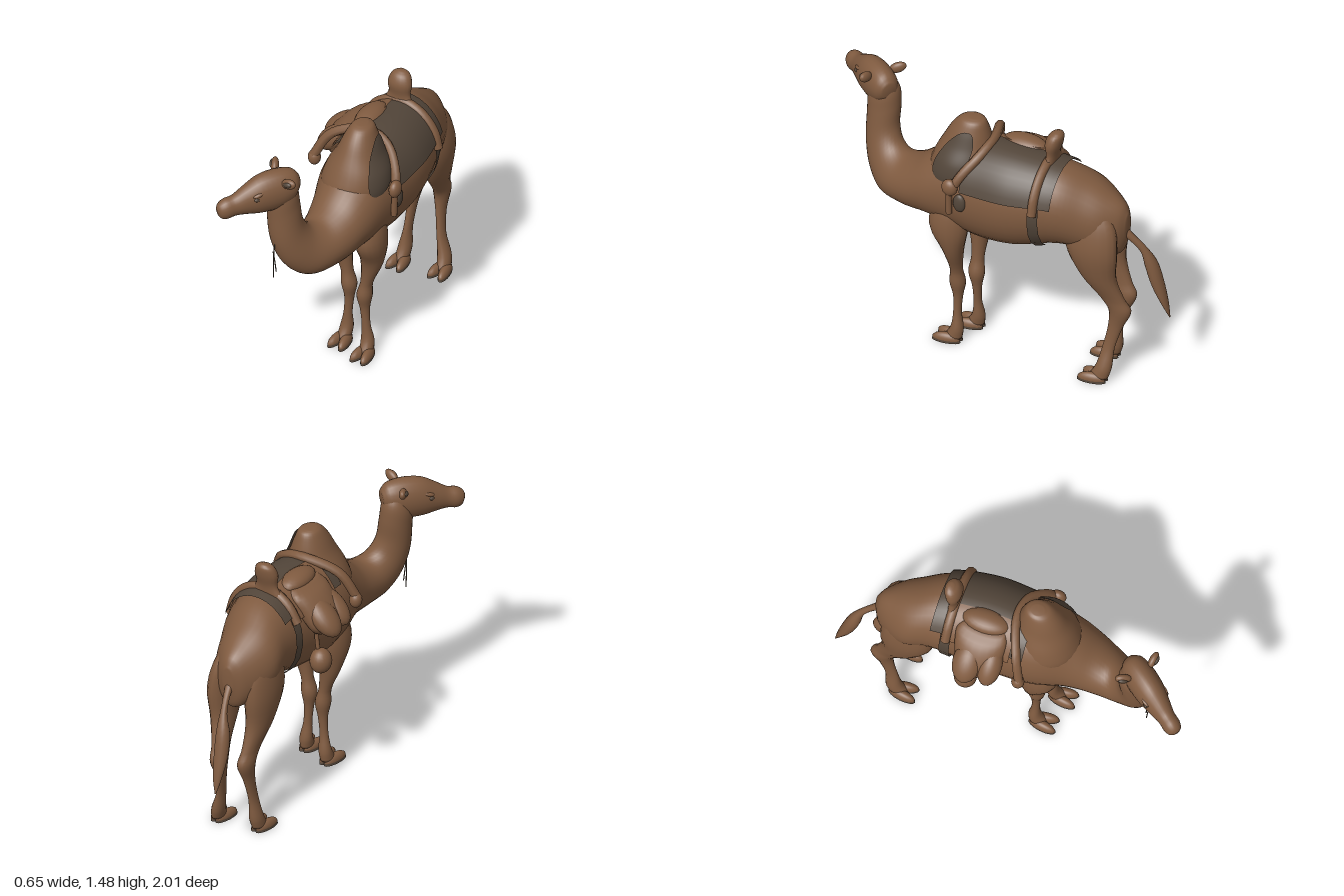
import * as THREE from 'three';

const material = (name, color) => {
  const m = new THREE.MeshStandardMaterial({ color });
  m.name = name;
  return m;
};

// Station: [centre x, front/top z, y, back/bottom z, y, half width]
function surface(stations) {
  const a = new THREE.CatmullRomCurve3(stations.map(s => new THREE.Vector3(s[0], s[2], s[1])));
  const b = new THREE.CatmullRomCurve3(stations.map(s => new THREE.Vector3(s[5], s[4], s[3])));
  const n = stations.length - 1;
  return (i, angle, pad = 0) => {
    const p = a.getPoint(i / n), q = b.getPoint(i / n);
    const dy = (p.y - q.y) / 2, dz = (p.z - q.z) / 2;
    const k = Math.cos(angle) * (1 + pad / Math.max(Math.hypot(dy, dz), 0.01));
    return new THREE.Vector3(p.x + (q.x + pad) * Math.sin(angle),
      (p.y + q.y) / 2 + dy * k, (p.z + q.z) / 2 + dz * k);
  };
}

// Closed tube of elliptical cross-sections
function loft(stations, sides = 24, steps = 4) {
  const at = surface(stations), rows = (stations.length - 1) * steps;
  const pos = [], idx = [];
  const centre = i => at(i, 0).add(at(i, Math.PI)).multiplyScalar(0.5);
  for (let r = 0; r <= rows; r++)
    for (let s = 0; s < sides; s++) pos.push(...at(r / steps, s / sides * Math.PI * 2).toArray());
  for (let r = 0; r < rows; r++)
    for (let s = 0; s < sides; s++) {
      const t = (s + 1) % sides, p = r * sides, q = p + sides;
      idx.push(p + s, q + s, p + t, p + t, q + s, q + t);
    }
  const first = pos.length / 3, end = rows * sides;
  pos.push(...centre(0).toArray(), ...centre(stations.length - 1).toArray());
  for (let s = 0; s < sides; s++) {
    const t = (s + 1) % sides;
    idx.push(first, s, t, first + 1, end + t, end + s);
  }
  // Turn the faces outward if the enclosed volume is negative
  let volume = 0;
  const v = k => new THREE.Vector3(pos[k * 3], pos[k * 3 + 1], pos[k * 3 + 2]);
  for (let k = 0; k < idx.length; k += 3) volume += v(idx[k]).dot(v(idx[k + 1]).cross(v(idx[k + 2])));
  if (volume < 0) idx.reverse();
  const g = new THREE.BufferGeometry();
  g.setAttribute('position', new THREE.Float32BufferAttribute(pos, 3));
  g.setIndex(idx);
  g.computeVertexNormals();
  return g;
}

// Cloth lying on part of a lofted surface; an oval narrows at both ends and can lean
function patch(stations, i0, i1, a0, a1, pad, oval = false, lean = 0) {
  const at = surface(stations), g = new THREE.PlaneGeometry(1, 1, 24, 16), p = g.attributes.position;
  for (let k = 0; k < p.count; k++) {
    const s = p.getX(k) + 0.5, t = p.getY(k);
    const w = oval ? Math.sqrt(1 - 0.95 * (2 * s - 1) ** 2) : 1;
    const angle = THREE.MathUtils.degToRad((a0 + a1) / 2 + (a1 - a0) * t * w + lean * (s - 0.5));
    p.setXYZ(k, ...at(i0 + (i1 - i0) * s, angle, pad).toArray());
  }
  g.computeVertexNormals();
  return g;
}

export function createModel() {
  const model = new THREE.Group();
  const coat = material('brown coat', 0x805b40);
  coat.side = THREE.DoubleSide;
  const cloth = material('dark cloth', 0x53463a);
  cloth.side = THREE.DoubleSide;
  const dark = material('dark hoof', 0x544538);

  const add = (name, geometry, mat, parent = model) => {
    const mesh = new THREE.Mesh(geometry, mat);
    mesh.name = name;
    parent.add(mesh);
    return mesh;
  };
  const ball = (name, mat, position, radii, tilt = [0, 0, 0], parent = model) => {
    const mesh = add(name, new THREE.SphereGeometry(1, 20, 14), mat, parent);
    mesh.position.set(...position);
    mesh.scale.set(...radii);
    mesh.rotation.set(...tilt);
    return mesh;
  };
  const tube = (name, mat, points, radius) => add(name, new THREE.TubeGeometry(
    new THREE.CatmullRomCurve3(points.map(p => new THREE.Vector3(...p))), 24, radius, 8), mat);

  // Torso and neck
  const torso = [
    [-0.01, -0.79, 1.03, -0.785, 0.88, 0.03], [-0.01, -0.76, 1.085, -0.75, 0.78, 0.085],
    [-0.005, -0.68, 1.145, -0.68, 0.77, 0.145], [0.0, -0.58, 1.205, -0.58, 0.78, 0.185],
    [0.035, -0.45, 1.265, -0.45, 0.8, 0.202],
    [0.06, -0.2, 1.295, -0.2, 0.73, 0.228], [0.055, 0, 1.29, 0, 0.71, 0.228],
    [0.055, 0.15, 1.26, 0.15, 0.735, 0.215], [0.07, 0.32, 1.15, 0.3, 0.77, 0.18],
    [0.06, 0.42, 1.075, 0.48, 0.768, 0.15], [0.03, 0.5, 1.045, 0.64, 0.79, 0.125],
    [-0.01, 0.56, 1.07, 0.725, 0.88, 0.107], [-0.045, 0.59, 1.14, 0.77, 1.02, 0.094],
    [-0.065, 0.59, 1.26, 0.775, 1.2, 0.087], [-0.07, 0.6, 1.36, 0.775, 1.28, 0.08],
    [-0.065, 0.64, 1.43, 0.77, 1.32, 0.06]];
  add('torso and neck', loft(torso, 32, 5), coat);

  // Hump
  const hump = [
    [0.06, 0.3, 1.0, -0.05, 1.0, 0.15], [0.06, 0.33, 1.1, -0.06, 1.1, 0.185],
    [0.068, 0.3, 1.2, -0.04, 1.2, 0.168], [0.07, 0.25, 1.3, -0.02, 1.3, 0.118],
    [0.07, 0.205, 1.38, 0, 1.38, 0.085], [0.07, 0.16, 1.43, 0.02, 1.43, 0.058],
    [0.065, 0.12, 1.445, 0.05, 1.445, 0.03]];
  add('hump', loft(hump, 28), coat);

  // Head, turned toward the right
  const head = new THREE.Group();
  head.name = 'head';
  head.position.set(-0.06, 0, 0.69);
  head.rotation.y = -0.645;
  model.add(head);
  add('skull and muzzle', loft([
    [0, -0.085, 1.42, -0.075, 1.33, 0.04], [0, -0.05, 1.46, -0.04, 1.28, 0.07],
    [0, 0.03, 1.478, 0.03, 1.245, 0.083], [0, 0.14, 1.465, 0.14, 1.24, 0.078],
    [0, 0.23, 1.415, 0.22, 1.252, 0.06], [0, 0.29, 1.378, 0.28, 1.258, 0.048],
    [0, 0.34, 1.368, 0.33, 1.25, 0.048], [0, 0.373, 1.345, 0.358, 1.257, 0.036],
    [0, 0.384, 1.32, 0.374, 1.277, 0.014]]), coat, head);
  for (const s of [-1, 1]) {
    ball('ear', coat, [s * 0.095, 1.442, 0.01], [0.048, 0.03, 0.022], [0, s * 0.45, s * 0.4], head);
    ball('inner ear', cloth, [s * 0.105, 1.446, 0.022], [0.028, 0.016, 0.014], [0, s * 0.45, s * 0.4], head);
    ball('brow', coat, [s * 0.058, 1.39, 0.165], [0.016, 0.012, 0.034], [0.3, 0, 0], head);
    ball('eye', dark, [s * 0.066, 1.365, 0.178], [0.009, 0.011, 0.016], [0, 0, 0], head);
  }

  // Legs with two-toed feet
  const frontLeg = [
    [0.1, 0.22, 1.05, 0.1, 1.05, 0.04], [0.145, 0.27, 0.92, 0.07, 0.92, 0.085],
    [0.178, 0.29, 0.77, 0.07, 0.77, 0.082], [0.17, 0.215, 0.62, 0.1, 0.62, 0.064],
    [0.135, 0.19, 0.46, 0.12, 0.46, 0.034], [0.122, 0.2, 0.375, 0.11, 0.375, 0.043],
    [0.122, 0.18, 0.29, 0.125, 0.29, 0.028], [0.13, 0.175, 0.18, 0.13, 0.18, 0.024],
    [0.138, 0.185, 0.09, 0.115, 0.08, 0.036], [0.143, 0.22, 0.025, 0.12, 0.025, 0.036]];
  const hindLeg = [
    [0.06, -0.55, 1.1, -0.68, 1.1, 0.04], [0.085, -0.48, 0.98, -0.755, 0.98, 0.07],
    [0.105, -0.48, 0.83, -0.775, 0.83, 0.078], [0.095, -0.56, 0.66, -0.765, 0.66, 0.06],
    [0.068, -0.66, 0.52, -0.805, 0.52, 0.038], [0.055, -0.705, 0.44, -0.835, 0.45, 0.041],
    [0.06, -0.705, 0.34, -0.79, 0.34, 0.026], [0.08, -0.68, 0.2, -0.75, 0.2, 0.022],
    [0.108, -0.655, 0.09, -0.745, 0.08, 0.036], [0.12, -0.62, 0.025, -0.73, 0.025, 0.035]];
  const leg = (name, stations, mapX, dz) => {
    const moved = stations.map(([x, zf, yf, zb, yb, w]) => [mapX(x), zf + dz, yf, zb + dz, yb, w]);
    add(name, loft(moved, 18), coat);
    const [x, zf, , zb] = moved[moved.length - 1];
    for (const s of [-1, 1]) {
      const toe = add('toe', new THREE.SphereGeometry(1, 16, 8, 0, Math.PI * 2, 0, Math.PI / 2), coat);
      const sole = add('sole', new THREE.CylinderGeometry(0.95, 1, 1, 16), dark);
      toe.position.set(x + s * 0.024, 0.014, (zf + zb) / 2 + 0.03);
      toe.scale.set(0.028, 0.038, 0.077);
      sole.position.set(x + s * 0.024, 0.008, toe.position.z);
      sole.scale.set(0.029, 0.016, 0.08);
      toe.rotation.y = sole.rotation.y = s * 0.15;
    }
  };
  leg('left front leg', frontLeg, x => x, 0);
  leg('right front leg', frontLeg, x => 0.12 - x, -0.05);
  leg('left hind leg', hindLeg, x => x, 0);
  leg('right hind leg', hindLeg, x => -0.1 - (x - 0.08) * 0.3, 0.04);

  // Tail with a tufted end
  add('tail', loft([
    [0, -0.72, 0.92, -0.74, 0.98, 0.03], [-0.02, -0.8, 0.86, -0.815, 0.9, 0.02],
    [-0.04, -0.85, 0.79, -0.875, 0.83, 0.02], [-0.06, -0.865, 0.7, -0.93, 0.73, 0.038],
    [-0.07, -0.9, 0.58, -0.965, 0.6, 0.04], [-0.075, -0.96, 0.46, -0.99, 0.47, 0.025],
    [-0.08, -0.995, 0.385, -1, 0.385, 0.004]], 14), coat);

  // Blanket, hump pad and girth strap
  add('blanket', patch(torso, 4.02, 6.45, -55, 73, 0.018), cloth);
  add('girth strap', patch(torso, 4.28, 4.5, -150, 150, 0.012), cloth);
  add('hump pad', patch(hump, 1, 4.2, 52, 118, 0.01, true, 30), cloth);

  // Saddle: rear horn, rear and front arches, seat drape
  add('saddle horn', loft([
    [0.03, -0.33, 1.26, -0.39, 1.26, 0.11], [0.03, -0.335, 1.33, -0.395, 1.33, 0.065],
    [0.03, -0.325, 1.4, -0.415, 1.4, 0.07], [0.03, -0.345, 1.45, -0.42, 1.45, 0.052],
    [0.03, -0.375, 1.47, -0.405, 1.47, 0.02]], 18), coat);
  const onTorso = surface(torso);
  tube('rear saddle arch', coat, [-65, -40, -15, 10, 35, 60, 82].map(a =>
    onTorso(4.4, a * Math.PI / 180, 0.014).toArray()), 0.027);
  tube('front saddle arch', coat, [[-0.24, 1.1, 0.09], [-0.15, 1.26, 0.04], [0.04, 1.32, -0.02],
    [0.17, 1.28, 0.0], [0.26, 1.18, 0.07], [0.29, 1.08, 0.12]], 0.026);
  add('seat drape', patch(torso, 4.5, 6, -62, -10, 0.025), coat);
  ball('seat pad', coat, [-0.03, 1.285, -0.17], [0.07, 0.05, 0.13]);
  ball('arch knob', coat, [0.29, 1.11, 0.12], [0.032, 0.05, 0.045]);
  ball('arch knob', coat, [-0.23, 1.1, 0.08], [0.035, 0.045, 0.035]);
  tube('hanging peg', coat, [[0.292, 1.1, 0.125], [0.288, 1.02, 0.125], [0.285, 0.94, 0.125]], 0.018);
  ball('hanging pouch', cloth, [0.278, 1.015, 0.068], [0.02, 0.055, 0.036]);

  // Bags on the right side
  add('pack bag', loft([
    [-0.07, -0.05, 1.285, -0.28, 1.285, 0.03], [-0.1, -0.03, 1.25, -0.31, 1.25, 0.075],
    [-0.15, -0.03, 1.17, -0.3, 1.17, 0.095], [-0.195, -0.04, 1.09, -0.28, 1.09, 0.085],
    [-0.2, -0.06, 1.045, -0.25, 1.045, 0.06]], 22), coat);
  ball('rear bag lobe', coat, [-0.225, 1.135, -0.205], [0.125, 0.062, 0.08], [0, 0, 0.75]);
  ball('front bag lobe', coat, [-0.205, 1.135, -0.085], [0.12, 0.062, 0.065], [0, 0, 0.75]);
  ball('small bag', coat, [-0.215, 0.87, -0.22], [0.06, 0.072, 0.062]);
  tube('bag cord', coat, [[-0.19, 1.08, -0.22], [-0.19, 1.0, -0.22], [-0.2, 0.92, -0.22]], 0.012);

  // Hanging neck tassel
  for (let k = 0; k < 2; k++)
    tube('tassel strand', cloth, [[-0.07 - k * 0.01, 1.03 - k * 0.06, 0.765],
      [-0.08, 0.92, 0.76 - k * 0.008], [-0.085 + k * 0.012, 0.79 + k * 0.04, 0.75 - k * 0.006]], 0.003);
  return model;
}
